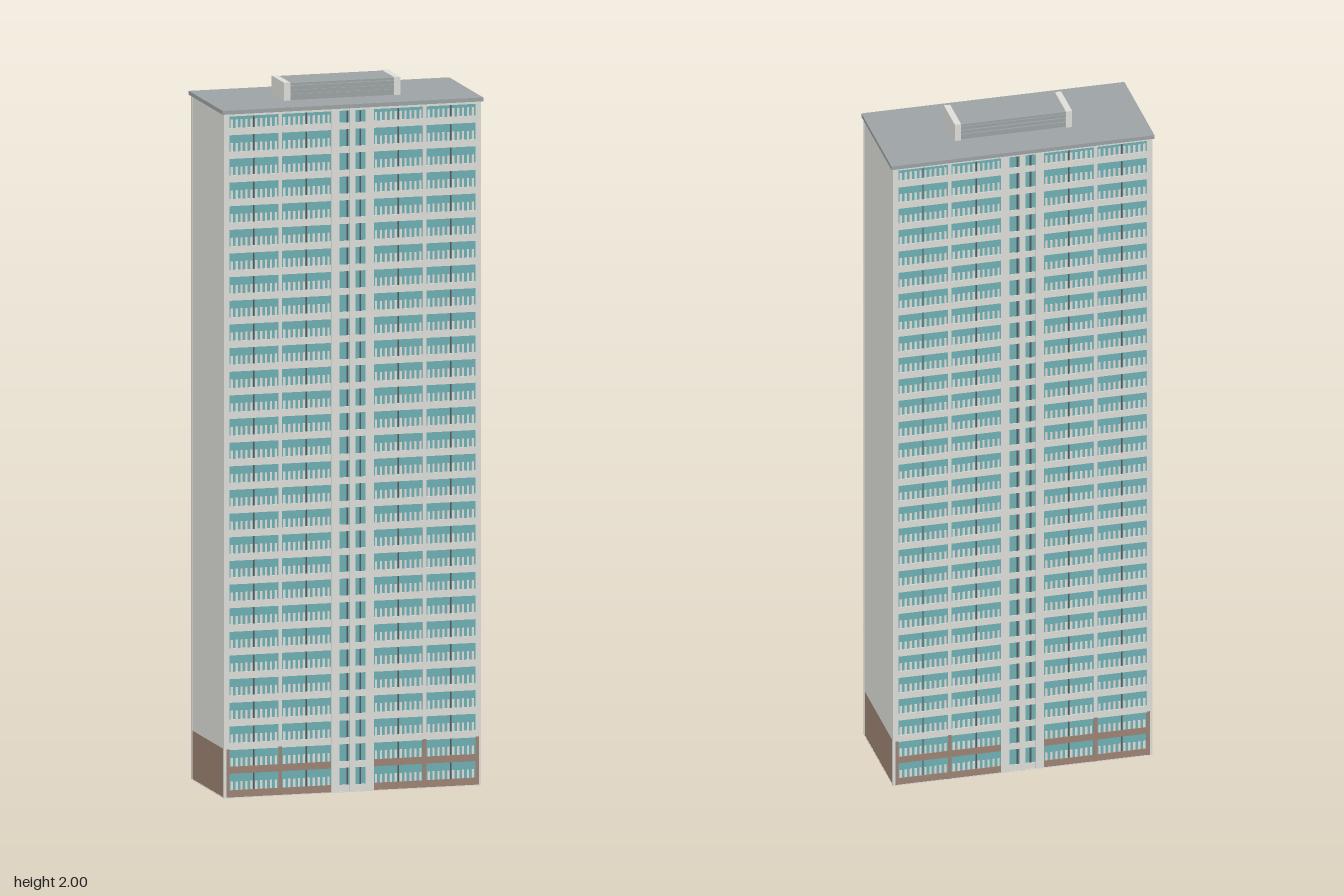
import * as THREE from 'three';
import { mergeGeometries } from 'three/addons/utils/BufferGeometryUtils.js';

const FLOORS = 29, P = 0.067, TOP = FLOORS * P;   // storeys, storey height, eaves
const HX = 0.374, HZ = 0.163;                     // half length, half depth
const IN = 0.152, GLASS_Z = 0.159;                // back of the facade parts, glazing plane
const BASE = 0.139;                               // top of the brown plinth storeys

const mat = (name, color) => {
  const m = new THREE.MeshStandardMaterial({ color });
  m.name = name;
  return m;
};

// box from min/max corners
const box = (x0, x1, y0, y1, z0, z1) =>
  new THREE.BoxGeometry(x1 - x0, y1 - y0, z1 - z0)
    .translate((x0 + x1) / 2, (y0 + y1) / 2, (z0 + z1) / 2);

export function createModel() {
  const wall = mat('pale concrete', 0xe1e1dd);
  const brown = mat('brown brick', 0xa08676);
  const teal = mat('teal glass', 0x70b3b7);
  const dark = mat('dark frame', 0x565a5b);
  const roofGrey = mat('roof grey', 0x9fa5a7);

  const model = new THREE.Group();
  const tower = new THREE.Group();
  tower.name = 'tower';
  tower.rotation.y = -THREE.MathUtils.degToRad(20.1);
  model.add(tower);

  const add = (parent, name, material, boxes) => {
    const mesh = new THREE.Mesh(mergeGeometries(boxes), material);
    mesh.name = name;
    parent.add(mesh);
  };

  // core with windowless end walls, brown at the foot, pale underside
  const ex = HX - 0.001;
  add(tower, 'core', wall, [box(-ex, ex, BASE, TOP, -IN, IN)]);
  add(tower, 'plinth', brown, [box(-ex, ex, 0.002, BASE, -IN, IN)]);
  add(tower, 'underside', wall, [box(-HX, HX, 0, 0.002, -HZ, HZ)]);

  // one long facade, facing local +z
  function makeFacade() {
    const g = new THREE.Group();
    const bays = [[-0.358, -0.215], [-0.205, -0.062], [0.062, 0.205], [0.215, 0.358]];
    const piers = [[-0.367, -0.358], [-0.215, -0.205], [0.205, 0.215], [0.358, 0.367]];
    const glass = [], frames = [], bands = [], baseBands = [], rails = [];

    for (let f = 0; f < FLOORS; f++) {
      const y = f * P + 0.002, y1 = f === FLOORS - 1 ? TOP - 0.012 : y + P;
      for (const [a, b] of bays) {
        const mid = (a + b) / 2;
        // floor band, glazing and its mullion
        (f < 2 ? baseBands : bands).push(box(a, b, y, y + 0.02, IN, HZ - 0.001));
        glass.push(box(a, b, y + 0.02, y1, IN, GLASS_Z));
        frames.push(box(mid - 0.002, mid + 0.002, y + 0.02, y1, IN, GLASS_Z + 0.001));
        // balcony balusters
        const n = 10;
        for (let i = 0; i < n; i++) {
          const x = a + (i + 0.5) * (b - a) / n;
          rails.push(box(x - 0.0032, x + 0.0032, y + 0.02, y + 0.044, IN, GLASS_Z + 0.0015));
        }
      }
      // stairwell windows in the central strip
      for (const s of [-1, 1]) {
        const c = s * 0.023;
        bands.push(box(c - 0.015, c + 0.015, y, y + 0.019, IN, HZ - 0.002));
        glass.push(box(c - 0.015, c + 0.015, y + 0.019, y1, IN, GLASS_Z));
        const d = s < 0 ? 0.006 : -0.002;
        frames.push(box(c + d, c + d + 0.005, y + 0.019, y1, IN, GLASS_Z + 0.001));
      }
    }
    // fascia under the roof
    bands.push(box(-0.358, 0.358, TOP - 0.012, TOP, IN, HZ - 0.0015));

    const centre = [[-0.062, -0.038], [-0.008, 0.008], [0.038, 0.062]];
    const corners = [[-HX, -0.367], [0.367, HX]];
    add(g, 'windows', teal, glass);
    add(g, 'windowFrames', dark, frames);
    add(g, 'floorBands', wall, bands);
    add(g, 'baseFloorBands', brown, baseBands);
    add(g, 'balconyRailings', wall, rails);
    add(g, 'stairPiers', wall, centre.map(([a, b]) => box(a, b, 0, TOP, IN, HZ)));
    add(g, 'cornerPosts', wall, corners.map(([a, b]) => box(a, b, 0, TOP, IN, HZ)));
    add(g, 'piers', wall, piers.map(([a, b]) => box(a, b, BASE, TOP, IN, HZ)));
    add(g, 'basePiers', brown, piers.map(([a, b]) => box(a, b, 0.002, BASE, IN, HZ)));
    return g;
  }
  const front = makeFacade();
  front.name = 'frontFacade';
  const back = makeFacade();
  back.name = 'backFacade';
  back.rotation.y = Math.PI;
  tower.add(front, back);

  // roof slab, slightly overhanging
  const rx = HX + 0.005, rz = HZ + 0.004;
  add(tower, 'roof', roofGrey, [box(-rx, rx, TOP - 0.005, TOP + 0.006, -rz, rz)]);

  // rooftop plant room: pale end walls, grey louvred middle
  const plant = new THREE.Group();
  plant.name = 'plantRoom';
  tower.add(plant);
  add(plant, 'plantEndWalls', wall, [
    box(-0.169, -0.151, TOP, 2, -0.061, 0.061),
    box(0.151, 0.169, TOP, 2, -0.061, 0.061),
  ]);
  const slats = [];
  for (let i = 0; i < 3; i++) {
    const y = 1.957 + i * 0.012;
    for (const s of [-1, 1]) slats.push(box(-0.151, 0.151, y, y + 0.009, s * 0.0565 - 0.0025, s * 0.0565 + 0.0025));
  }
  add(plant, 'plantCore', roofGrey, [
    box(-0.151, 0.151, TOP, 1.99, -0.055, 0.055),
    box(-0.151, 0.151, 1.992, 1.998, -0.06, 0.06),
    ...slats,
  ]);

  return model;
}
